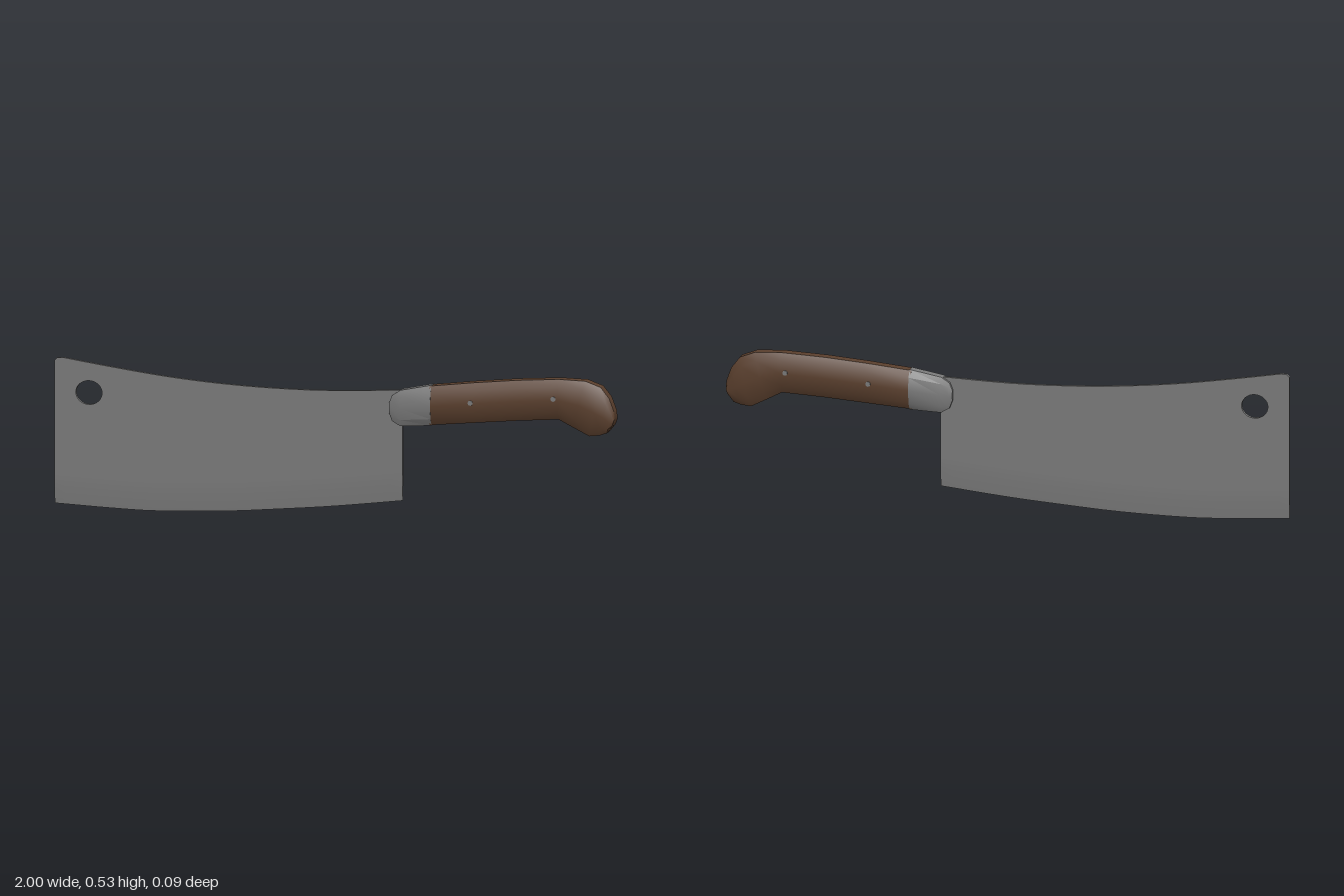
import * as THREE from 'three';
import { toCreasedNormals } from 'three/addons/utils/BufferGeometryUtils.js';

const steel = new THREE.MeshStandardMaterial({ color: 0x7a7a7a });
steel.name = 'steel';
const wood = new THREE.MeshStandardMaterial({ color: 0x5a3f2d });
wood.name = 'dark wood';

// Joins mirrored cross-sections. Station: [topX, topY, bottomX, bottomY, bulge].
// Profile: [share of the way from top to bottom, half width].
function loft(stations, profile) {
  const pos = [], idx = [], n = profile.length * 2;
  const rim = profile[0][1];
  for (const [tx, ty, bx, by, bulge = 1] of stations) {
    const side = profile.map(([t, w]) =>
      [tx + (bx - tx) * t, ty + (by - ty) * t, rim + (w - rim) * bulge]);
    for (const [x, y, z] of side) pos.push(x, y, z);
    for (const [x, y, z] of side.reverse()) pos.push(x, y, -z);
  }
  const last = (stations.length - 1) * n;
  for (let i = 0; i < last; i += n) {
    for (let j = 0; j < n; j++) {
      const k = (j + 1) % n;
      idx.push(i + j, i + k, i + n + k, i + j, i + n + k, i + n + j);
    }
  }
  for (let j = 1; j < n - 1; j++) {
    idx.push(0, j + 1, j, last, last + j, last + j + 1);
  }
  const g = new THREE.BufferGeometry();
  g.setAttribute('position', new THREE.Float32BufferAttribute(pos, 3));
  g.setIndex(idx);
  return toCreasedNormals(g, 0.5);
}

const spline = (pts, n) =>
  new THREE.SplineCurve(pts.map(([x, y]) => new THREE.Vector2(x, y))).getPoints(n);

export function createModel() {
  const group = new THREE.Group();
  const add = (name, geometry, material) => {
    const mesh = new THREE.Mesh(geometry, material);
    mesh.name = name;
    group.add(mesh);
    return mesh;
  };

  // Blade: flat plate with a hanging hole, above a ground edge
  const spine = spline([[-0.97, 0.534], [-0.8, 0.508], [-0.6, 0.481], [-0.4, 0.463],
    [-0.2, 0.454], [0, 0.454], [0.24, 0.465]], 24);
  const edge = spline([[-1, 0.02], [-0.8, 0.01], [-0.64, 0.006], [-0.4, 0.014],
    [-0.2, 0.029], [0, 0.047], [0.24, 0.075]], 24);
  const grind = 0.1, half = 0.0075;
  const outline = [
    ...edge.map((p) => new THREE.Vector2(p.x, p.y + grind)),
    ...spine.slice().reverse(),
    new THREE.Vector2(-0.99, 0.533),
    new THREE.Vector2(-1, 0.523),
  ];
  const plate = new THREE.Shape(outline);
  const hole = new THREE.Path();
  hole.absellipse(-0.877, 0.414, 0.047, 0.042, 0, Math.PI * 2, true);
  plate.holes.push(hole);
  const plateGeo = new THREE.ExtrudeGeometry(plate,
    { depth: half * 2, bevelEnabled: false, curveSegments: 16 });
  plateGeo.translate(0, 0, -half);
  add('blade', toCreasedNormals(plateGeo, 0.5), steel);
  add('cuttingEdge', loft(edge.map((p) => [p.x, p.y + grind, p.x, p.y]),
    [[0, half], [0.4, 0.0068], [1, 0.0004]]), steel);

  // Bolster: collar with a rounded front that widens towards the handle
  add('bolster', loft([
    [0.195, 0.42, 0.195, 0.385, 0.1],
    [0.206, 0.447, 0.206, 0.357, 0.25],
    [0.235, 0.466, 0.235, 0.34, 0.45],
    [0.347, 0.488, 0.347, 0.346, 1],
  ], [[0, 0.02], [0.18, 0.038], [0.5, 0.046], [0.82, 0.038], [1, 0.02]]), steel);

  // Handle: faceted grip that curls down into a hooked butt
  add('handle', loft([
    [0.34, 0.485, 0.34, 0.348],
    [0.5, 0.503, 0.5, 0.362],
    [0.65, 0.517, 0.65, 0.375],
    [0.8, 0.526, 0.8, 0.385],
    [0.895, 0.523, 0.855, 0.357, 1.05],
    [0.95, 0.503, 0.91, 0.33, 1.05],
    [0.98, 0.465, 0.945, 0.334, 0.85],
    [0.997, 0.42, 0.972, 0.343, 0.6],
    [1, 0.395, 0.992, 0.368, 0.4],
  ], [[0, 0.022], [0.18, 0.037], [0.5, 0.044], [0.82, 0.037], [1, 0.022]]), wood);

  // Rivets pass through the handle
  for (const [x, y] of [[0.49, 0.434], [0.785, 0.459]]) {
    const pin = add('rivet', new THREE.CylinderGeometry(0.009, 0.009, 0.09, 10), steel);
    pin.rotation.x = Math.PI / 2;
    pin.position.set(x, y, 0);
  }
  return group;
}
